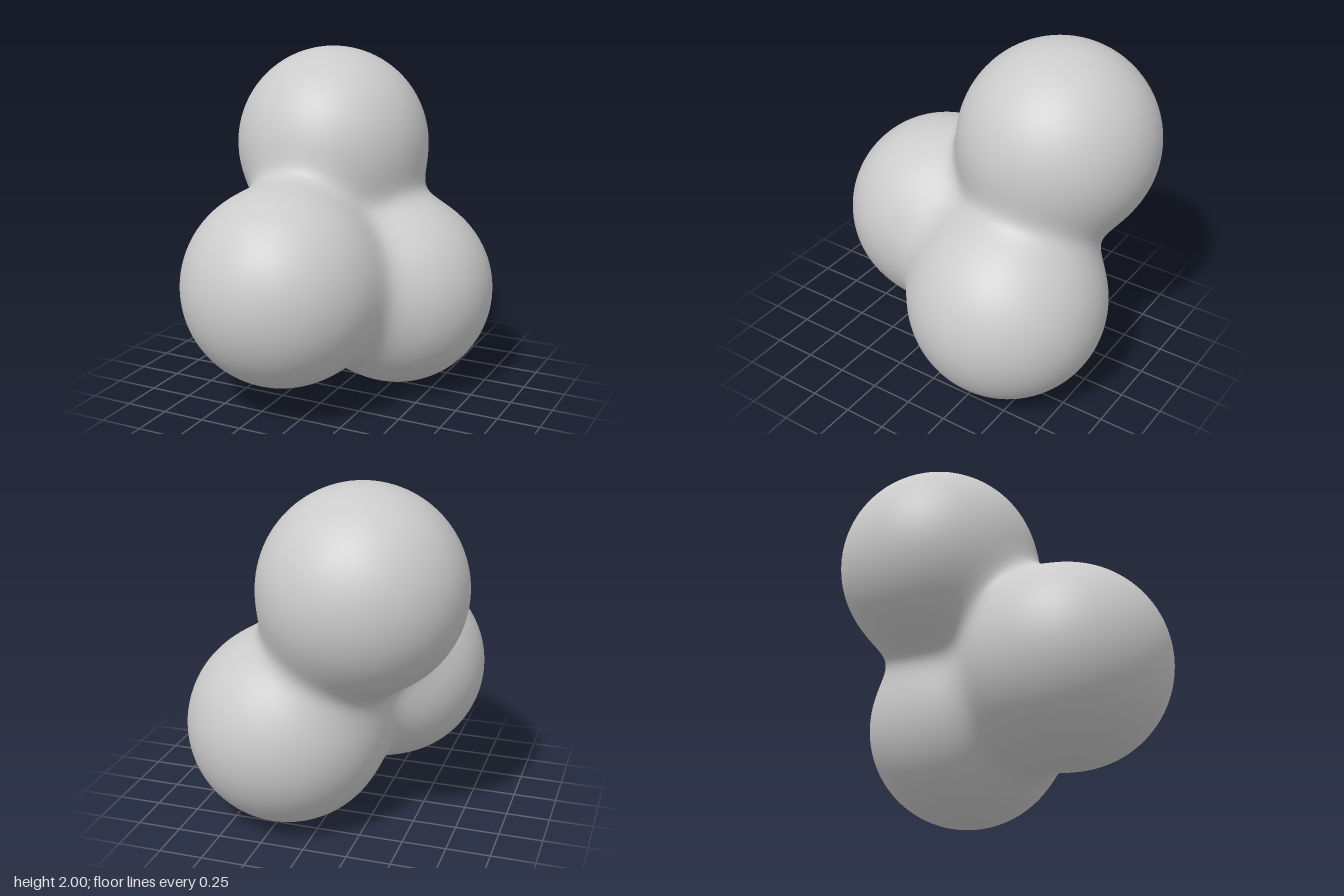
import * as THREE from 'three';
import { mergeVertices } from 'three/addons/utils/BufferGeometryUtils.js';

// Three equal balls melted into one another
const RADIUS = 0.575;
const BLEND = 0.08;
const BALLS = [
  new THREE.Vector3(-0.225, 1.425, -0.38), // upper
  new THREE.Vector3(-0.175, 0.735, 0.375), // front
  new THREE.Vector3(0.225, 0.575, -0.34),  // lower back
];
// Point equally far from all three balls; every surface point is visible from it
const CORE = new THREE.Vector3(-0.08, 0.97, -0.12);

// Smooth union of the balls: negative inside, positive outside
function field(p) {
  let sum = 0;
  for (const c of BALLS) sum += Math.exp(-(p.distanceTo(c) - RADIUS) / BLEND);
  return -BLEND * Math.log(sum);
}

// Distance from the core to the skin along a direction, by bisection
function reach(dir) {
  const p = new THREE.Vector3();
  let inside = 0, outside = 1.6;
  for (let i = 0; i < 24; i++) {
    const mid = (inside + outside) / 2;
    if (field(p.copy(CORE).addScaledVector(dir, mid)) < 0) inside = mid;
    else outside = mid;
  }
  return inside;
}

function blobGeometry() {
  let geo = new THREE.IcosahedronGeometry(1, 32);
  geo.deleteAttribute('uv');
  geo.deleteAttribute('normal');
  geo = mergeVertices(geo, 1e-5);
  const pos = geo.attributes.position;
  const dir = new THREE.Vector3();
  for (let i = 0; i < pos.count; i++) {
    dir.fromBufferAttribute(pos, i).normalize();
    dir.multiplyScalar(reach(dir)).add(CORE);
    pos.setXYZ(i, dir.x, dir.y, dir.z);
  }
  geo.computeVertexNormals();
  return geo;
}

export function createModel() {
  const group = new THREE.Group();
  group.name = 'blendedBalls';
  const skin = new THREE.Mesh(blobGeometry(), new THREE.MeshStandardMaterial({ color: 0xcccccc }));
  skin.name = 'threeBallBlob';
  group.add(skin);
  return group;
}
